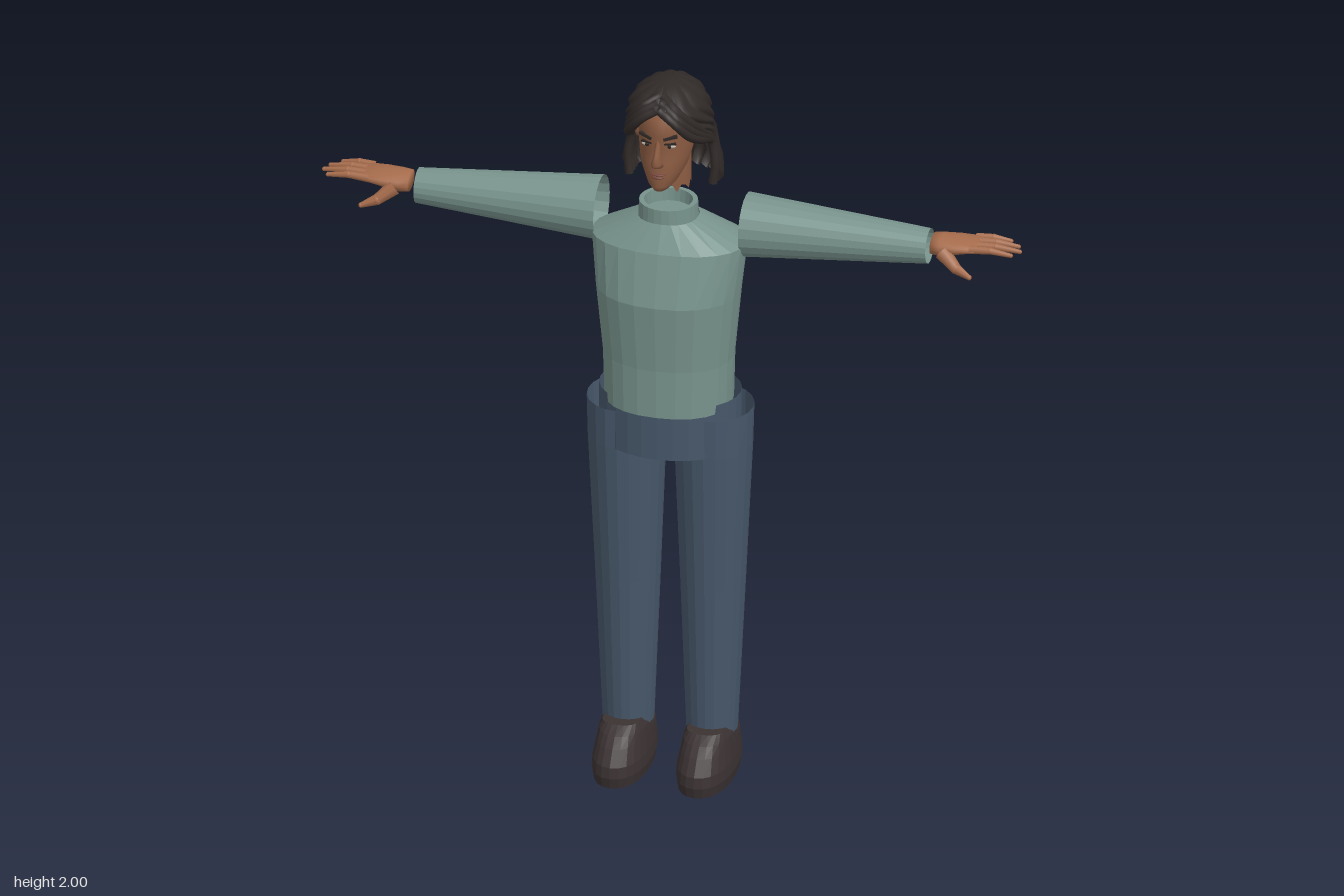
import * as THREE from 'three';

const mat = (name, color, open) => {
  const m = new THREE.MeshStandardMaterial({ color });
  m.name = name;
  if (open) m.side = THREE.DoubleSide;
  return m;
};

// Grid surface: fn(i, j) gives [x, y, z]; i runs round, j runs along
function grid(nu, nj, fn, closed, flat) {
  const pos = [], idx = [], w = closed ? nu : nu + 1;
  for (let j = 0; j < nj; j++) for (let i = 0; i < w; i++) pos.push(...fn(i, j));
  for (let j = 0; j < nj - 1; j++) for (let i = 0; i < nu; i++) {
    const a = j * w + i, b = j * w + (i + 1) % w;
    idx.push(a, b, b + w, a, b + w, a + w);
  }
  let g = new THREE.BufferGeometry();
  g.setAttribute('position', new THREE.Float32BufferAttribute(pos, 3));
  g.setIndex(idx);
  if (flat) g = g.toNonIndexed();
  g.computeVertexNormals();
  return g;
}

// Loft of rounded rings, rows are [y, centreX, halfWidth, zFront, zBack]
function loft(rows, { n = 24, p = 2, flat = true } = {}) {
  const bend = (v) => Math.sign(v) * Math.abs(v) ** (2 / p);
  return grid(n, rows.length, (i, j) => {
    const [y, cx, rx, zf, zb] = rows[j], a = (i / n) * Math.PI * 2;
    return [cx + rx * bend(Math.sin(a)), y, (zf + zb) / 2 + (zf - zb) / 2 * bend(Math.cos(a))];
  }, true, flat);
}

export function createModel() {
  const M = {
    sweater: mat('sweater green', 0x78938c, true),
    trousers: mat('trouser blue', 0x47576a, true),
    shoe: mat('shoe brown', 0x3b3232),
    hair: mat('hair dark', 0x302a28, true),
    face: mat('face skin', 0x8c5c42, true),
    hand: mat('hand skin', 0xa66c4c),
    lip: mat('lip brown', 0x74433a),
    eye: mat('eye white', 0xbdb5aa),
    iris: mat('iris dark', 0x2b2522),
  };
  const root = new THREE.Group();
  root.name = 'person';
  const group = (name, parent = root) => {
    const g = new THREE.Group();
    g.name = name;
    parent.add(g);
    return g;
  };
  const add = (name, geo, material, parent = root, at = [0, 0, 0]) => {
    const m = new THREE.Mesh(geo, material);
    m.name = name;
    m.position.set(...at);
    parent.add(m);
    return m;
  };
  const ball = (name, material, parent, at, size) =>
    add(name, new THREE.SphereGeometry(1, 14, 10), material, parent, at).scale.set(...size);

  // Sweater body and rolled collar
  add('torso', loft([
    [1.075, 0, 0.168, 0.127, -0.15], [1.21, 0, 0.172, 0.127, -0.148],
    [1.4, 0, 0.19, 0.142, -0.16], [1.54, 0, 0.206, 0.106, -0.15], [1.61, 0, 0.08, 0.07, -0.08],
  ], { p: 2.25 }), M.sweater);
  add('collar', loft([
    [1.6, 0, 0.079, 0.07, -0.08], [1.65, 0, 0.077, 0.069, -0.078], [1.65, 0, 0.064, 0.056, -0.065],
    [1.615, 0, 0.062, 0.054, -0.063], [1.615, 0, 0, -0.005, -0.005],
  ]), M.sweater);

  // Hip band
  add('hips', loft([[0.95, 0, 0.188, 0.12, -0.17], [1.1, 0, 0.188, 0.12, -0.17]], { n: 28 }), M.trousers);

  for (const s of [1, -1]) {
    const side = s > 0 ? 'left' : 'right';
    // Trouser leg and shoe
    add(side + 'Leg', loft([
      [0.12, s * 0.112, 0.067, 0.049, -0.095], [0.55, s * 0.114, 0.085, 0.066, -0.118],
      [0.95, s * 0.116, 0.102, 0.087, -0.136], [1.06, s * 0.116, 0.105, 0.088, -0.138],
    ], { n: 20 }), M.trousers);
    const cx = s * 0.113;
    add(side + 'Shoe', loft([
      [0, cx, 0, 0.01, 0.01], [0, cx, 0.07, 0.165, -0.145], [0.03, cx, 0.075, 0.172, -0.15],
      [0.06, cx, 0.073, 0.168, -0.149], [0.1, cx, 0.067, 0.14, -0.143], [0.125, cx, 0.062, 0.115, -0.1],
      [0.145, cx, 0.05, 0.085, 0.0], [0.145, cx, 0, 0.04, 0.04],
    ], { p: 2.3 }), M.shoe);

    // Open sleeve
    const sleeve = new THREE.CylinderGeometry(0.047, 0.086, 0.492, 20, 1, true)
      .rotateZ(-s * Math.PI / 2).toNonIndexed();
    sleeve.computeVertexNormals();
    add(side + 'Sleeve', sleeve, M.sweater, root, [s * 0.44, 1.574, -0.058]);

    // Hand, modelled on the left and mirrored
    const hand = group(side + 'Hand');
    hand.scale.x = s;
    add('palm', loft([
      [0.7, -1.594, 0, -0.04, -0.04], [0.7, -1.594, 0.026, 0, -0.08], [0.725, -1.594, 0.028, 0.005, -0.086],
      [0.77, -1.598, 0.021, 0.006, -0.094], [0.82, -1.601, 0.013, 0, -0.096], [0.83, -1.601, 0, -0.045, -0.045],
    ], { n: 16, flat: false }).rotateZ(-Math.PI / 2), M.hand, hand);
    const digit = (name, pts, r) => {
      const v = pts.map((q) => new THREE.Vector3(...q));
      for (let k = 0; k < v.length - 1; k++) {
        const d = v[k + 1].clone().sub(v[k]);
        const bone = add(name, new THREE.CylinderGeometry(r[k + 1], r[k], d.length(), 8, 1, true), M.hand, hand,
          v[k].clone().add(v[k + 1]).multiplyScalar(0.5).toArray());
        bone.quaternion.setFromUnitVectors(new THREE.Vector3(0, 1, 0), d.normalize());
        ball(name + 'Joint', M.hand, hand, pts[k + 1], [r[k + 1], r[k + 1], r[k + 1]]);
      }
    };
    [['pinky', -0.085, 0.895], ['ringFinger', -0.061, 0.922], ['middleFinger', -0.036, 0.932], ['indexFinger', -0.011, 0.915]]
      .forEach(([name, z, tip]) => digit(name, [[0.805, 1.602, z],
        [(0.805 + tip) / 2, 1.605, z * 1.05], [tip, 1.598, z * 1.1]], [0.012, 0.0095, 0.006]));
    digit('thumb', [[0.735, 1.588, -0.005], [0.775, 1.558, 0.018], [0.815, 1.543, 0.032]], [0.022, 0.015, 0.007]);
  }

  // Head and neck
  const head = group('head');
  add('skull', loft([
    [1.722, 0, 0, 0.07, 0.07], [1.724, 0, 0.022, 0.104, 0.02], [1.74, 0, 0.038, 0.114, -0.02],
    [1.775, 0, 0.057, 0.114, -0.06], [1.81, 0, 0.067, 0.112, -0.08], [1.85, 0, 0.073, 0.107, -0.1],
    [1.89, 0, 0.074, 0.116, -0.11], [1.93, 0, 0.072, 0.112, -0.11], [1.96, 0, 0.06, 0.09, -0.09],
    [1.98, 0, 0, 0, 0],
  ], { n: 28, flat: false }), M.face, head);
  // Neck with a ragged lower edge
  add('neck', grid(24, 3, (i, j) => {
    const a = i / 24 * Math.PI * 2, y = [1.69 + 0.013 * Math.sin(i * 2.3), 1.73, 1.8][j];
    return [0.051 * Math.sin(a), y, -0.037 + 0.05 * Math.cos(a)];
  }, true, false), M.face, head);
  // Nose: bridge, tip and wings as short cross-sections
  add('nose', loft([
    [1.798, 0, 0.002, 0.118, 0.1], [1.802, 0, 0.017, 0.13, 0.09], [1.815, 0, 0.014, 0.143, 0.09],
    [1.835, 0, 0.009, 0.131, 0.09], [1.868, 0, 0.007, 0.114, 0.09], [1.885, 0, 0.004, 0.112, 0.1],
  ], { n: 10, flat: false }), M.face, head);
  ball('upperLip', M.lip, head, [0, 1.777, 0.107], [0.022, 0.004, 0.012]);
  ball('lowerLip', M.lip, head, [0, 1.768, 0.106], [0.018, 0.005, 0.012]);
  for (const s of [1, -1]) {
    ball('eye', M.eye, head, [s * 0.031, 1.857, 0.096], [0.015, 0.006, 0.007]);
    ball('iris', M.iris, head, [s * 0.03, 1.857, 0.1015], [0.0055, 0.0055, 0.003]);
    const lid = add('eyelid', new THREE.BoxGeometry(0.032, 0.004, 0.009), M.iris, head, [s * 0.031, 1.8645, 0.1]);
    lid.rotation.set(0, s * 0.35, -s * 0.05);
    const brow = add('brow', new THREE.BoxGeometry(0.038, 0.008, 0.008), M.hair, head, [s * 0.033, 1.884, 0.104]);
    brow.rotation.set(0, s * 0.35, s * 0.2);
    ball('ear', M.face, head, [s * 0.082, 1.853, -0.012], [0.012, 0.033, 0.019]);
  }

  // Hair shell, rows are [y, halfWidth, zFront, zBack, face opening angle]
  const rows = [
    [1.69, 0.122, 0.06, -0.14, 1.65], [1.705, 0.132, 0.07, -0.158, 1.6], [1.735, 0.134, 0.075, -0.16, 1.5],
    [1.79, 0.124, 0.08, -0.155, 1.55], [1.845, 0.116, 0.09, -0.152, 1.6], [1.875, 0.113, 0.11, -0.15, 1.22],
    [1.905, 0.11, 0.122, -0.145, 0.72], [1.935, 0.103, 0.128, -0.135, 0.3], [1.96, 0.09, 0.118, -0.118, 0],
    [1.982, 0.068, 0.09, -0.09, 0], [1.996, 0.036, 0.045, -0.055, 0], [1.999, 0, 0, 0, 0],
  ];
  add('hair', grid(96, rows.length, (i, j) => {
    const [y, rx, zf, zb, open] = rows[j], t = i / 96;
    const a = open + t * 2 * (Math.PI - open);
    const lock = Math.abs(Math.sin(t * Math.PI * 12));
    const r = 0.94 + 0.08 * lock;
    const drop = j < 2 ? 0.014 * (1 - lock) : 0;
    return [rx * r * Math.sin(a), y + drop, (zf + zb) / 2 + (zf - zb) / 2 * r * Math.cos(a)];
  }, false, false), M.hair, head);

  // Strands sweeping from the centre parting to behind the ears
  for (const s of [1, -1]) [0, 1, 2].forEach((k) => {
    const path = new THREE.CatmullRomCurve3([
      [0.004, 1.984 - k * 0.012, 0.07 + k * 0.018], [0.042, 1.962 - k * 0.012, 0.094 + k * 0.012],
      [0.078, 1.92 - k * 0.014, 0.075 + k * 0.01], [0.096, 1.875 - k * 0.008, 0.025 + k * 0.01],
      [0.106, 1.82, -0.035], [0.117, 1.75, -0.035 - k * 0.02], [0.112, 1.698, -0.03 - k * 0.02],
    ].map(([x, y, z]) => new THREE.Vector3(s * x, y, z)));
    add('frontStrand', new THREE.TubeGeometry(path, 24, 0.012, 8), M.hair, head);
  });
  return root;
}
